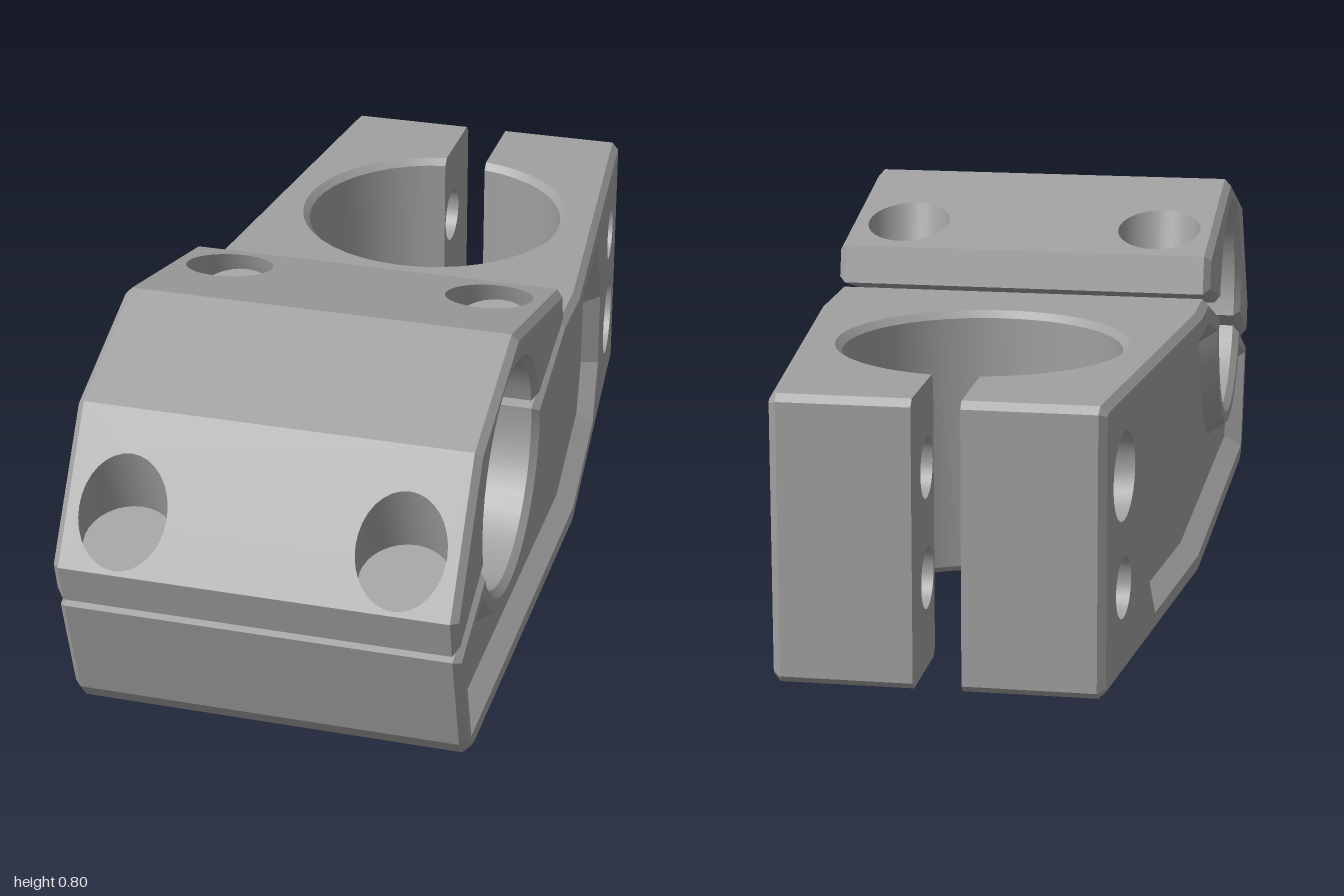
import * as THREE from 'three';
import { toCreasedNormals } from 'three/addons/utils/BufferGeometryUtils.js';

const FOLD = -0.12, HALF = 0.43, BACK = 0.34; // where the sides start to taper, half widths
const TOP = 0.605, BEVEL = 0.015, SLOT = 0.05;
const BAR = { z: 0.535, y: 0.485, r: 0.245 };  // handlebar bore
const TUBE = { z: -0.47, r: 0.30, lip: 0.315 }; // upright bore
const width = z => z >= FOLD ? HALF : HALF + (FOLD - z) / (FOLD + 1) * (BACK - HALF);

// Collects triangles of one part
class Skin {
  constructor() { this.v = []; }
  tri(a, b, c, flip) { this.v.push(...a, ...(flip ? c : b), ...(flip ? b : c)); }
  // Quads between neighbouring rings of points
  loft(rings, closed) {
    for (let k = 0; k + 1 < rings.length; k++) {
      const r = rings[k], s = rings[k + 1], n = r.length;
      for (let i = 0; i < (closed ? n : n - 1); i++) {
        const j = (i + 1) % n;
        this.tri(r[i], s[i], s[j]);
        this.tri(r[i], s[j], r[j]);
      }
    }
  }
  // Filled outline with holes, placed by map(u, v)
  face(outline, holes, map, flip) {
    const vec = l => l.map(p => new THREE.Vector2(p[0], p[1]));
    const c = vec(outline), h = holes.map(vec);
    const pts = [c, ...h].flat().map(p => map(p.x, p.y));
    for (const [a, b, d] of THREE.ShapeUtils.triangulateShape(c, h)) this.tri(pts[a], pts[b], pts[d], flip);
  }
  mesh(name, material) {
    const g = new THREE.BufferGeometry();
    g.setAttribute('position', new THREE.Float32BufferAttribute(this.v, 3));
    const m = new THREE.Mesh(toCreasedNormals(g, 0.22), material);
    m.name = name;
    return m;
  }
}

// Outlines are lists of [z, y], counter-clockwise
const arc = (z, y, r, from, to, n) => Array.from({ length: n + 1 }, (_, i) => {
  const a = THREE.MathUtils.degToRad(from + (to - from) * i / n);
  return [z + r * Math.cos(a), y + r * Math.sin(a)];
});
const circle = (z, y, r) => arc(z, y, r, 0, 360, 32).slice(0, 32);
function inset(pts, d) {
  const n = pts.length;
  const normal = (a, b) => {
    const l = Math.hypot(b[0] - a[0], b[1] - a[1]);
    return [(a[1] - b[1]) / l, (b[0] - a[0]) / l];
  };
  return pts.map((p, i) => {
    const m = normal(pts[(i + n - 1) % n], p), q = normal(p, pts[(i + 1) % n]);
    const k = d / (1 + m[0] * q[0] + m[1] * q[1]);
    return [p[0] + k * (m[0] + q[0]), p[1] + k * (m[1] + q[1])];
  });
}
// Puts an outline at the side wall (s = 1 or -1), sunk in by d
const side = (pts, s, d = 0) => pts.map(([z, y]) => [s * (width(z) - d), y, z]);
const flat = (pts, x) => pts.map(([z, y]) => [x, y, z]);

function buildBody(material) {
  const skin = new Skin();
  const front = [[FOLD, 0], [0.84, 0], [0.88, 0.012], [0.91, 0.05], [0.976, 0.29],
    ...arc(BAR.z, BAR.y, BAR.r, -24.5, -188, 18), [0.035, TOP], [FOLD, TOP]];
  const rear = [[BEVEL - 1, TOP], [-1, TOP - BEVEL], [-1, BEVEL], [BEVEL - 1, 0]];
  const outline = [...front, ...rear], edge = inset(outline, BEVEL);

  const pocketFront = [[FOLD, 0.045], [0.865, 0.045], [0.93, 0.275],
    ...arc(BAR.z, BAR.y, 0.285, -32, -180, 18), [0.03, 0.552], [FOLD, 0.552]];
  const pocket = [...pocketFront, [-0.52, 0.552], [-0.63, 0.35], [-0.63, 0.17], [-0.55, 0.045]];
  const floor = inset(pocket, 0.03), depth = 0.04;
  const split = (pts, n) => [pts.slice(0, n), [...pts.slice(n - 1), pts[0]]];
  const edges = split(edge, front.length);
  const pockets = split(pocket, pocketFront.length), floors = split(floor, pocketFront.length);

  // Front wrap, including the lower half of the handlebar bore
  skin.loft([side(front, -1, BEVEL), side(front, 1, BEVEL)]);

  const lipZ = TUBE.z - Math.sqrt(TUBE.lip ** 2 - SLOT ** 2);
  const boreZ = TUBE.z - Math.sqrt(TUBE.r ** 2 - SLOT ** 2);
  const slotWall = [[BEVEL - 1, 0], [lipZ, 0], [boreZ, BEVEL], [boreZ, TOP - BEVEL], [lipZ, TOP],
    [BEVEL - 1, TOP], [-1, TOP - BEVEL], [-1, BEVEL]];
  const backStrip = outline.slice(front.length);

  for (const s of [1, -1]) {
    const order = rings => s > 0 ? rings : rings.reverse();
    const at = d => (z, y) => [s * (width(z) - d), y, z];
    // Softened edge, side rim and sunken pocket
    skin.loft(order([side(outline, s, BEVEL), side(edge, s)]), true);
    const bolts = [0.19, 0.425].map((y, i) => ({ y, big: (i === 0) === (s > 0) }));
    const mouths = bolts.map(b => circle(-0.84, b.y, b.big ? 0.093 : 0.065));
    edges.forEach((e, i) =>
      skin.face([...e, ...pockets[i].slice().reverse()], i ? mouths : [], at(0), s > 0));
    floors.forEach(f => skin.face(f, [], at(depth), s > 0));
    skin.loft(order([side(pocket, s), side(floor, s, depth)]), true);
    // Clamp bolt holes, one of each pair counterbored
    const holes = bolts.map(b => circle(-0.84, b.y, 0.065));
    bolts.forEach((b, i) => {
      const rings = [side(mouths[i], s)];
      if (b.big) rings.push(flat(mouths[i], s * 0.27), flat(holes[i], s * 0.27));
      rings.push(flat(holes[i], s * SLOT));
      skin.loft(order(rings), true);
    });
    // Slot wall and back end
    skin.face(slotWall, holes, (z, y) => [s * SLOT, y, z], s < 0);
    skin.loft(order([flat(backStrip, s * SLOT), side(backStrip, s, BEVEL)]));
  }

  // Upright bore with chamfered lips, open to the slot
  const ring = (r, y) => {
    const a0 = Math.asin(SLOT / r);
    return Array.from({ length: 41 }, (_, i) => {
      const a = a0 + (2 * Math.PI - 2 * a0) * i / 40;
      return [r * Math.sin(a), y, TUBE.z - r * Math.cos(a)];
    });
  };
  skin.loft([ring(TUBE.lip, TOP), ring(TUBE.r, TOP - BEVEL), ring(TUBE.r, BEVEL), ring(TUBE.lip, 0)]);

  // Top and bottom plates around the upright bore
  const e = BEVEL - 1, we = width(e) - BEVEL, wf = HALF - BEVEL;
  const plate = [[SLOT, e], [we, e], [wf, FOLD], [-wf, FOLD], [-we, e], [-SLOT, e],
    ...ring(TUBE.lip, 0).reverse().map(p => [p[0], p[2]])];
  for (const y of [0, TOP]) skin.face(plate, [], (x, z) => [x, y, z], y > 0);
  return skin.mesh('stemBody', material);
}

function buildCap(material) {
  const skin = new Skin();
  const outline = [[0.98, 0.308], [1, 0.395], [0.81, 0.685], [0.5, 0.8], [0.06, 0.698], [0.04, 0.614],
    ...arc(BAR.z, BAR.y, BAR.r, 166.8, -18.6, 20)];
  const edge = inset(outline, BEVEL), w = HALF - BEVEL;
  for (const s of [1, -1]) {
    const rings = [flat(outline, s * w), flat(edge, s * HALF)];
    skin.loft(s > 0 ? rings : rings.reverse(), true);
    skin.face(edge, [], (z, y) => [s * HALF, y, z], s > 0);
  }
  // Bolt recesses run square to the split between cap and body
  const recess = { 1: { z: 0.928, depth: 0.085 }, 3: { z: 0.2, depth: 0.1 } };
  const az = 0.31, ay = 0.951, r = 0.095;
  outline.forEach((p, i) => {
    const q = outline[(i + 1) % outline.length], hole = recess[i];
    if (!hole) return skin.loft([flat([p, q], -w), flat([p, q], w)]);
    const len = Math.hypot(q[0] - p[0], q[1] - p[1]);
    const dz = (q[0] - p[0]) / len, dy = (q[1] - p[1]) / len;
    const s0 = (hole.z - p[0]) / dz, lean = dz * ay - dy * az;
    const place = (x, s) => [x, p[1] + s * dy, p[0] + s * dz];
    const mouths = [-0.295, 0.295].map(x => circle(0, 0, r).map(([u, v]) => [x + u, s0 + v / lean]));
    skin.face([[-w, 0], [w, 0], [w, len], [-w, len]], mouths, place);
    const [, cy, cz] = place(0, s0);
    mouths.forEach((m, k) => {
      const x = k ? 0.295 : -0.295;
      const seat = (u, v) => [x + u, cy - hole.depth * ay - v * az, cz - hole.depth * az + v * ay];
      const disc = circle(0, 0, r);
      skin.loft([m.map(([u, v]) => place(u, v)), disc.map(([u, v]) => seat(u, v))]
        .map(l => [...l, l[0]]));
      skin.face(disc, [], seat, true);
    });
  });
  return skin.mesh('handlebarCap', material);
}

export function createModel() {
  const metal = new THREE.MeshStandardMaterial({ color: 0xa0a0a0 });
  metal.name = 'grey metal';
  const group = new THREE.Group();
  group.name = 'handlebarStem';
  group.add(buildBody(metal), buildCap(metal));
  return group;
}
